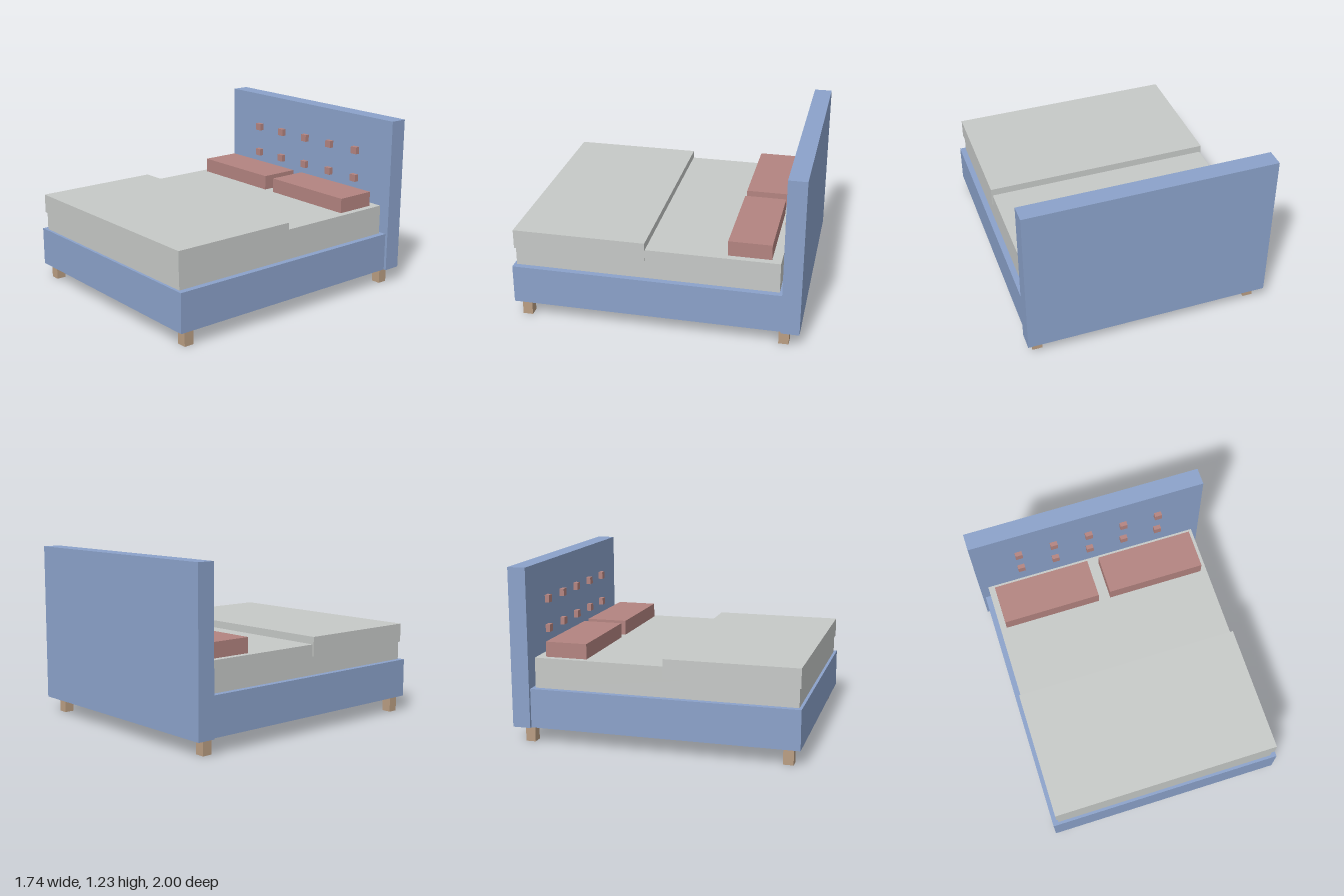
import * as THREE from 'three';

const material = (name, color) => {
  const m = new THREE.MeshStandardMaterial({ color });
  m.name = name;
  return m;
};

export function createModel() {
  const bed = new THREE.Group();
  bed.name = 'bed';

  const blue = material('blue upholstery', 0x8ba2ca);
  const grey = material('pale grey linen', 0xc6c9c7);
  const rose = material('dusty rose fabric', 0xb38480);
  const wood = material('light wood', 0xba9e83);

  // Box given by its extents along each axis
  const box = (name, mat, [x0, x1], [y0, y1], [z0, z1]) => {
    const mesh = new THREE.Mesh(new THREE.BoxGeometry(x1 - x0, y1 - y0, z1 - z0), mat);
    mesh.position.set((x0 + x1) / 2, (y0 + y1) / 2, (z0 + z1) / 2);
    mesh.name = name;
    bed.add(mesh);
  };
  const around = (c, size) => [c - size / 2, c + size / 2];

  // Upholstered base and headboard
  box('bedFrame', blue, [-0.852, 0.852], [0.11, 0.385], [-0.875, 1]);
  box('headboard', blue, [-0.872, 0.872], [0.11, 1.225], [-1, -0.873]);

  // Bedding
  box('mattress', grey, [-0.81, 0.81], [0.385, 0.597], [-0.85, 0.98]);
  box('blanket', grey, [-0.82, 0.82], [0.515, 0.65], [0.065, 0.99]);

  for (const side of [-1, 1]) {
    const label = side > 0 ? 'left' : 'right';
    box(`${label}Pillow`, rose, around(side * 0.404, 0.72), [0.597, 0.703], [-0.785, -0.49]);
    // Legs
    box(`${label}FrontLeg`, wood, around(side * 0.79, 0.07), [0, 0.11], around(0.918, 0.07));
    box(`${label}BackLeg`, wood, around(side * 0.79, 0.07), [0, 0.11], around(-0.892, 0.07));
  }

  // Two rows of headboard buttons
  for (const y of [0.75, 0.96]) {
    for (let i = -2; i <= 2; i++) {
      box('headboardButton', rose, around(i * 0.266, 0.053), around(y, 0.053), around(-0.867, 0.053));
    }
  }

  return bed;
}
